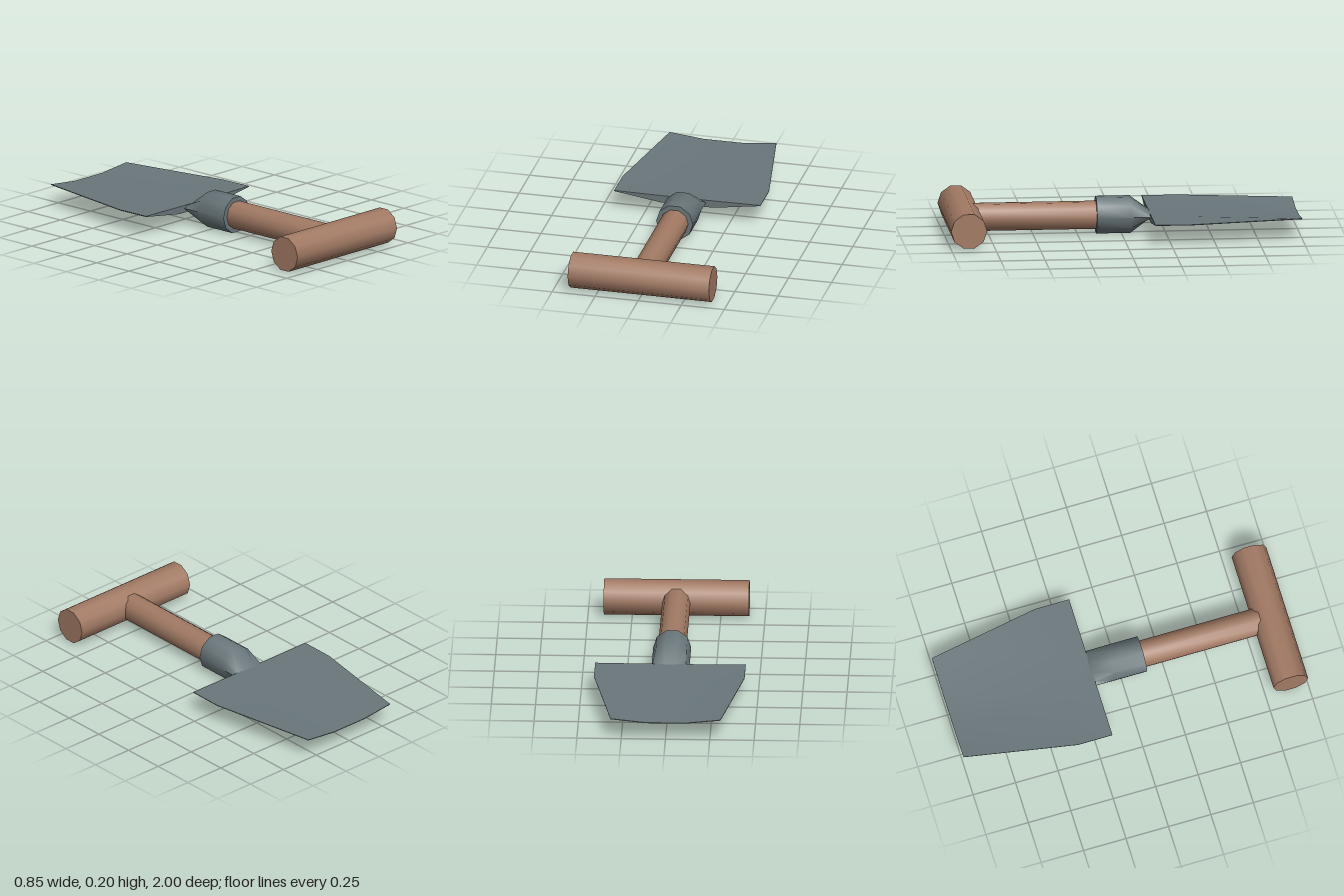
import * as THREE from 'three';
import { toCreasedNormals } from 'three/addons/utils/BufferGeometryUtils.js';

const AXIS_Y = 0.102;
const wood = new THREE.MeshStandardMaterial({ color: 0xa27a64 });
const steel = new THREE.MeshStandardMaterial({ color: 0x69767a });

function addPart(group, name, geometry, material) {
  const mesh = new THREE.Mesh(toCreasedNormals(geometry, 0.9), material);
  mesh.name = name;
  group.add(mesh);
}

// Ten-sided rod along z, with flats on top and bottom
function rodAlongZ(radius, z0, z1, rings = 1) {
  return new THREE.CylinderGeometry(radius, radius, z1 - z0, 10, rings)
    .rotateY(Math.PI / 10)
    .rotateX(Math.PI / 2)
    .translate(0, 0, (z0 + z1) / 2);
}

// Socket: round at the shaft, flattened where it meets the blade
function socketGeometry() {
  const front = 0.143, back = -0.165, bend = -0.05;
  const geo = rodAlongZ(0.107, back, front, 2);
  const p = geo.attributes.position;
  for (let i = 0; i < p.count; i++) {
    const z = p.getZ(i);
    if (Math.abs(z - back) < 1e-4) p.setY(i, p.getY(i) * 0.16);
    else if (Math.abs(z - front) > 1e-4) p.setZ(i, bend);
  }
  return geo.translate(0, AXIS_Y, 0);
}

// Blade: closed cross-sections, flat-topped at the base and dished at the tip
function bladeGeometry() {
  const across = [-1, -0.36, 0.36, 1];
  const dip = [0, 1, 1, 0];
  const n = across.length;
  const sections = [
    { z: -0.157, half: 0.425, edge: 0.122, top: 0.002, bottom: 0.04 },
    { z: -0.36, half: 0.425, edge: 0.121, top: 0.008, bottom: 0.038 },
    { z: -1, half: 0.31, edge: 0.121, top: 0.021, bottom: 0.021 },
  ];
  const pos = [], index = [];
  for (const s of sections) {
    for (let j = 0; j < n; j++) pos.push(across[j] * s.half, s.edge - s.top * dip[j], s.z);
    for (let j = n - 1; j >= 0; j--) {
      pos.push(across[j] * s.half, s.edge - 0.004 - s.bottom * dip[j], s.z);
    }
  }
  const loop = 2 * n;
  const quad = (a, b, c, d) => index.push(a, b, c, a, c, d);
  for (let i = 0; i < sections.length - 1; i++) {
    for (let j = 0; j < loop; j++) {
      const k = (j + 1) % loop, a = i * loop, b = a + loop;
      quad(a + j, a + k, b + k, b + j);
    }
  }
  // Base and tip faces
  const last = (sections.length - 1) * loop;
  for (let j = 0; j < n - 1; j++) {
    const low = loop - 1 - j;
    quad(low, low - 1, j + 1, j);
    quad(last + j, last + j + 1, last + low - 1, last + low);
  }
  const geo = new THREE.BufferGeometry();
  geo.setAttribute('position', new THREE.Float32BufferAttribute(pos, 3));
  geo.setIndex(index);
  return geo;
}

export function createModel() {
  const shovel = new THREE.Group();
  shovel.name = 'shovel';

  // Cross grip, with its flats on top and bottom
  const grip = new THREE.CylinderGeometry(0.102, 0.102, 0.82, 10)
    .rotateZ(Math.PI / 2)
    .translate(0, AXIS_Y + 0.001, 0.898);
  addPart(shovel, 'grip', grip, wood);

  addPart(shovel, 'shaft', rodAlongZ(0.08, 0, 0.89).translate(0, AXIS_Y, 0), wood);
  addPart(shovel, 'socket', socketGeometry(), steel);
  addPart(shovel, 'blade', bladeGeometry(), steel);
  return shovel;
}
